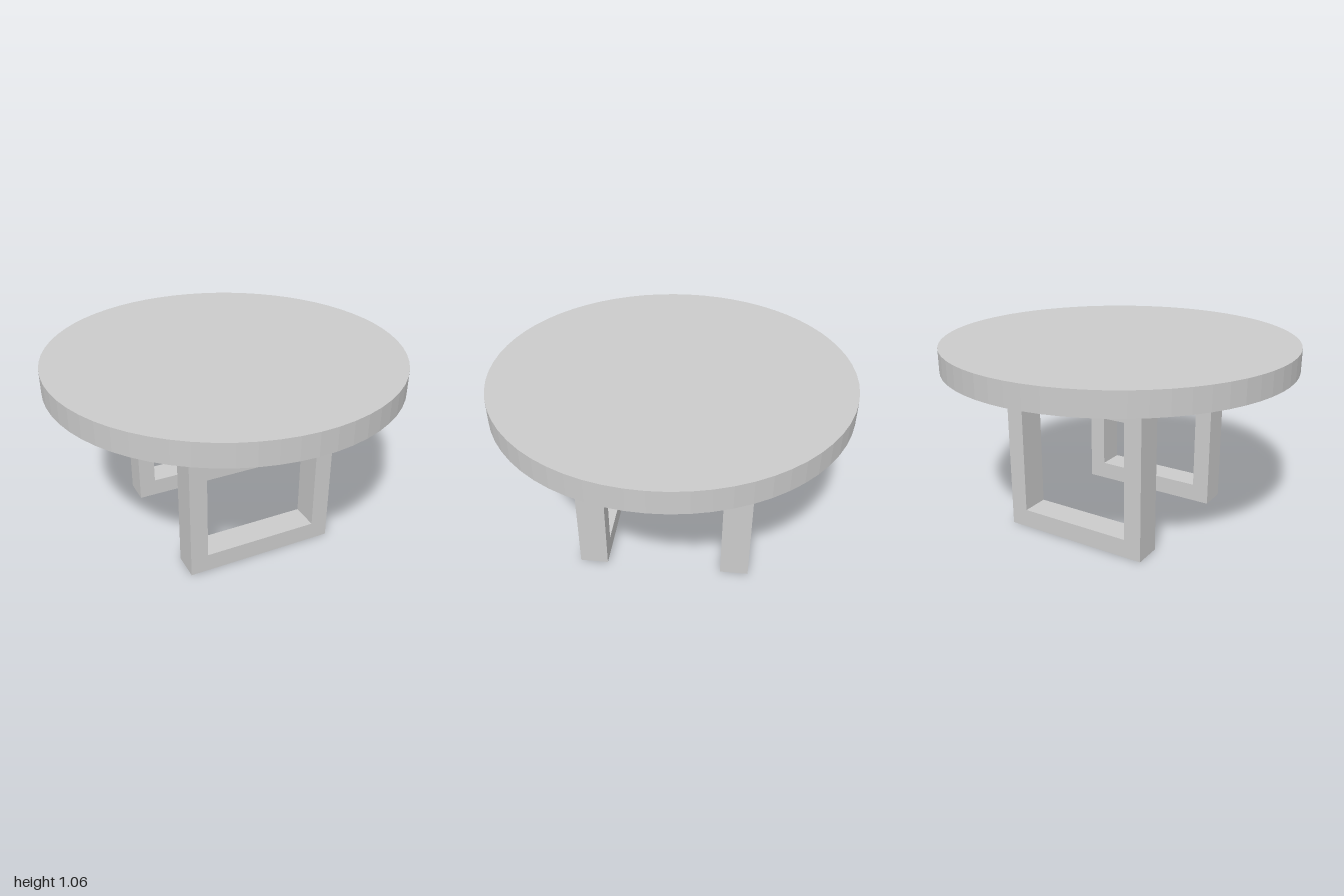
import * as THREE from 'three';

const material = new THREE.MeshStandardMaterial({ color: 0xcccccc, flatShading: true });

function addPart(group, name, geometry, x, y, z) {
  const mesh = new THREE.Mesh(geometry, material);
  mesh.name = name;
  mesh.position.set(x, y, z);
  group.add(mesh);
}

// Rectangular outline from its left, bottom, right and top limits
function rectangle(PathType, x0, y0, x1, y1) {
  const path = new PathType();
  path.moveTo(x0, y0);
  path.lineTo(x1, y0);
  path.lineTo(x1, y1);
  path.lineTo(x0, y1);
  path.closePath();
  return path;
}

export function createModel() {
  const table = new THREE.Group();
  table.name = 'roundTable';

  const underside = 0.93, topThickness = 0.13;
  const railBottom = 0.765, inner = 0.33, outer = 0.43, legDepth = 0.16;

  // Round table top
  addPart(table, 'tableTop', new THREE.CylinderGeometry(1, 1, topThickness, 64),
    0, underside + topThickness / 2, 0);

  // Front and back leg frames, each a rectangle with a square opening
  const outline = rectangle(THREE.Shape, -outer, 0, outer, underside);
  outline.holes.push(rectangle(THREE.Path, -inner, 0.105, inner, railBottom));
  const frame = new THREE.ExtrudeGeometry(outline, { depth: legDepth, bevelEnabled: false });
  addPart(table, 'frontLegFrame', frame, 0, 0, inner);
  addPart(table, 'backLegFrame', frame, 0, 0, -inner - legDepth);

  // Solid block joining the frames under the top
  const blockHeight = underside - railBottom;
  addPart(table, 'centreBlock', new THREE.BoxGeometry(2 * inner, blockHeight, 2 * inner),
    0, railBottom + blockHeight / 2, 0);

  return table;
}
